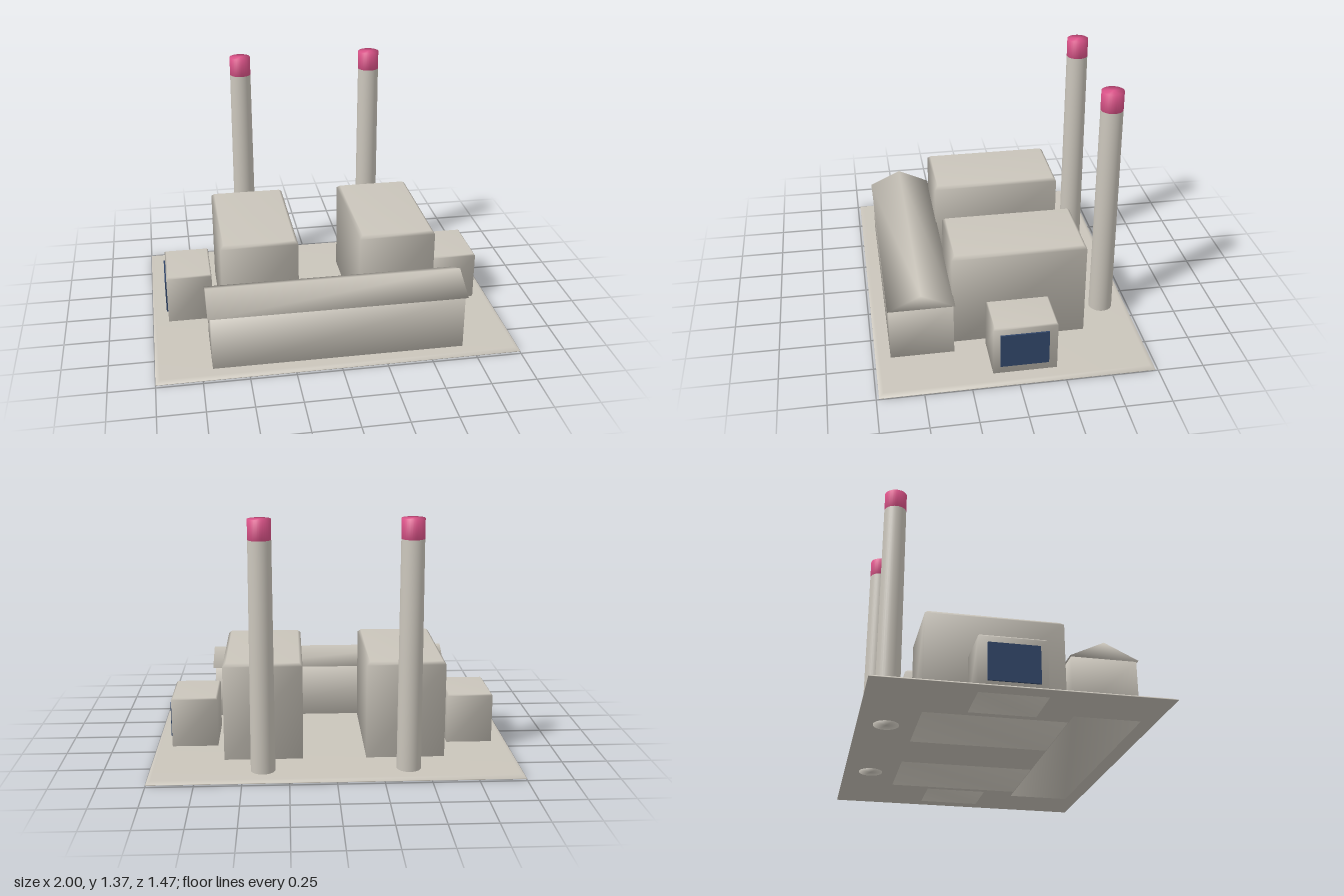
import * as THREE from 'three';
import { mergeVertices } from 'three/addons/utils/BufferGeometryUtils.js';

const concrete = new THREE.MeshStandardMaterial({ color: 0xcac5bb });
concrete.name = 'concrete';
const pink = new THREE.MeshStandardMaterial({ color: 0xe0558c });
pink.name = 'chimney pink';
const blue = new THREE.MeshStandardMaterial({ color: 0x304568 });
blue.name = 'window blue';

// Share corner vertices so the shading flows softly over every edge
function soften(geometry) {
  geometry.deleteAttribute('normal');
  geometry.deleteAttribute('uv');
  const welded = mergeVertices(geometry, 1e-4);
  welded.computeVertexNormals();
  return welded;
}

// Block from y0 to y1 whose top edge is chamfered by c horizontally and cy vertically
function chamferBlock(w, y0, y1, d, c, cy = c) {
  const h = y1 - y0;
  const geometry = new THREE.BoxGeometry(w, h, d, 1, 2, 1);
  const p = geometry.attributes.position;
  for (let i = 0; i < p.count; i++) {
    const y = p.getY(i);
    if (Math.abs(y) < 1e-6) p.setY(i, h / 2 - cy);
    else if (y > 0) {
      p.setX(i, p.getX(i) - Math.sign(p.getX(i)) * c);
      p.setZ(i, p.getZ(i) - Math.sign(p.getZ(i)) * c);
    }
  }
  geometry.translate(0, (y0 + y1) / 2, 0);
  return soften(geometry);
}

function pillar(rTop, rBottom, y0, y1) {
  const geometry = new THREE.CylinderGeometry(rTop, rBottom, y1 - y0, 32);
  geometry.translate(0, (y0 + y1) / 2, 0);
  return soften(geometry);
}

export function createModel() {
  const model = new THREE.Group();
  model.name = 'powerStation';

  function add(name, geometry, material, x = 0, z = 0) {
    const mesh = new THREE.Mesh(geometry, material);
    mesh.name = name;
    mesh.position.set(x, 0, z);
    model.add(mesh);
  }

  // Ground slab with a bevelled rim
  add('groundSlab', chamferBlock(2, 0.003, 0.02, 1.47, 0.025, 0.014), concrete);

  // Long front hall with a gable roof
  add('frontHall', soften(new THREE.BoxGeometry(1.385, 0.33, 0.346).translate(0, 0.165, 0)), concrete, 0, 0.479);
  const gable = new THREE.Shape([
    new THREE.Vector2(-0.181, 0.328),
    new THREE.Vector2(0.181, 0.328),
    new THREE.Vector2(0, 0.414),
  ]);
  const roof = new THREE.ExtrudeGeometry(gable, { depth: 1.416, bevelEnabled: false });
  roof.translate(0, 0, -0.708).rotateY(Math.PI / 2);
  add('frontHallRoof', soften(roof), concrete, 0, 0.478);

  // Mirrored pairs: reactor hall, side annex with window, chimney
  for (const [side, s] of [['left', 1], ['right', -1]]) {
    add(side + 'ReactorHall', chamferBlock(0.432, 0, 0.565, 0.736, 0.018), concrete, s * 0.39, -0.067);
    add(side + 'Annex', chamferBlock(0.258, 0, 0.304, 0.344, 0.009), concrete, s * 0.782, -0.045);
    add(side + 'AnnexWindow', new THREE.BoxGeometry(0.009, 0.197, 0.26).translate(0, 0.164, 0), blue, s * 0.9155, -0.041);
    add(side + 'Chimney', pillar(0.061, 0.066, 0, 1.264), concrete, s * 0.391, -0.587);
    add(side + 'ChimneyTip', pillar(0.061, 0.061, 1.264, 1.37), pink, s * 0.391, -0.587);
  }
  return model;
}
